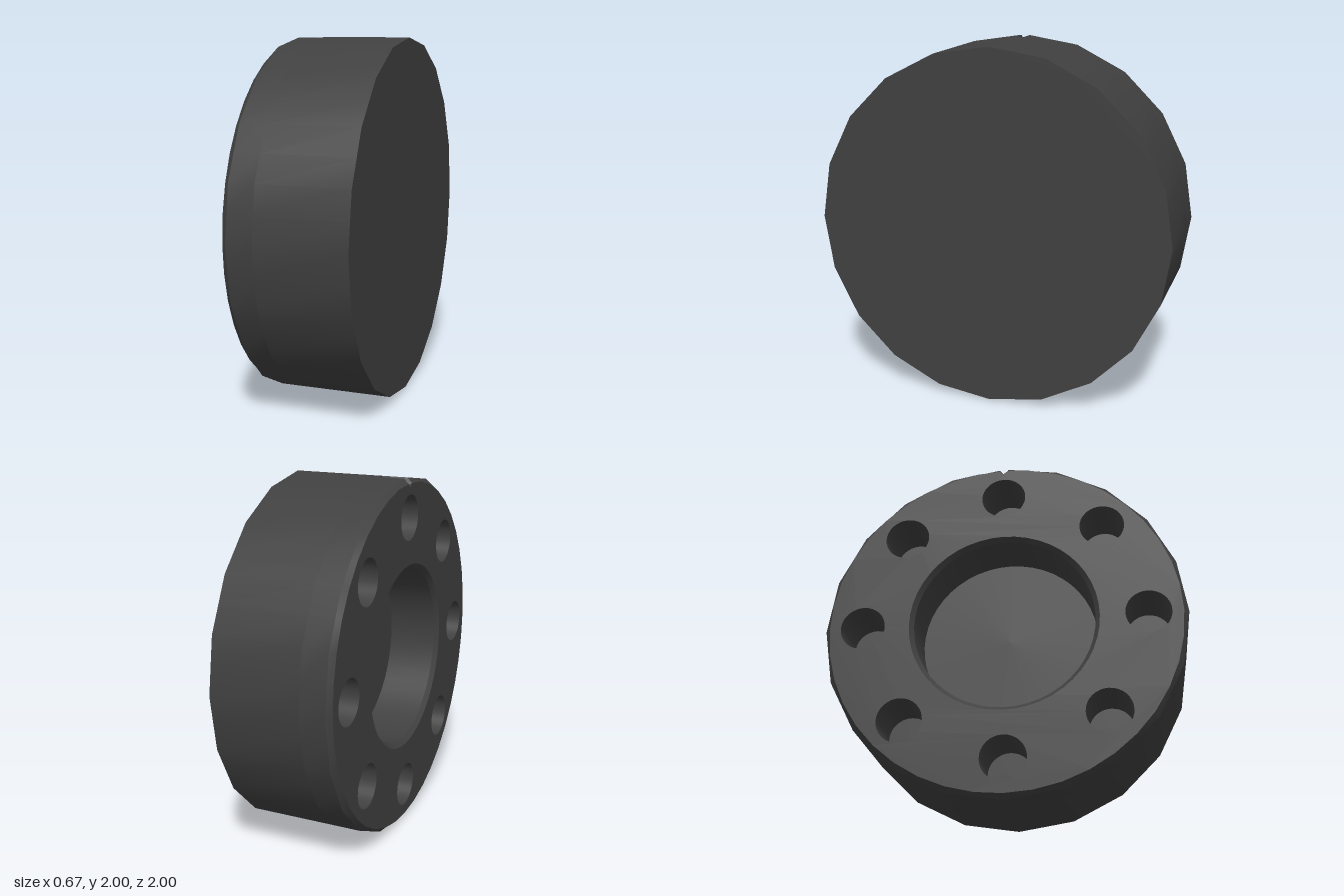
import * as THREE from 'three';
import { toCreasedNormals } from 'three/addons/utils/BufferGeometryUtils.js';

const FACE_X = -0.335, CAP_X = 0.335, BEVEL = 0.028;
const SIDES = 20, STEPS = 40;

export function createModel() {
  const group = new THREE.Group();
  const material = new THREE.MeshStandardMaterial({ color: 0x404040 });

  const add = (name, geometry) => {
    const mesh = new THREE.Mesh(toCreasedNormals(geometry, 0.5), material);
    mesh.name = name;
    group.add(mesh);
    return mesh;
  };

  // Points of a circle in the (z, y) plane
  const circle = (cz, cy, r, n) => Array.from({ length: n }, (_, i) => {
    const a = (i / n) * Math.PI * 2;
    return new THREE.Vector2(cz + r * Math.sin(a), cy + r * Math.cos(a));
  });

  // Outline ring at x: round or twenty-sided, with three points at the top for the groove
  const ring = (x, r, round, grooveY, grooveX = x) => {
    const points = [];
    for (let i = 1; i < STEPS; i++) {
      const a = (i / STEPS) * Math.PI * 2;
      const rr = !round && i % 2 ? r * Math.cos(Math.PI / SIDES) : r;
      points.push(new THREE.Vector3(x, 1 + rr * Math.cos(a), rr * Math.sin(a)));
    }
    const lipY = 1 + r - 0.004;
    points.push(new THREE.Vector3(x, lipY, -0.026));
    points.push(new THREE.Vector3(grooveX, grooveY ?? 1 + r, -0.004));
    points.push(new THREE.Vector3(x, lipY, 0.022));
    return points;
  };

  const triangles = (points) => new THREE.BufferGeometry().setFromPoints(points);

  // Skin between neighbouring rings, running towards +x
  const loft = (rings) => {
    const out = [];
    for (let k = 0; k + 1 < rings.length; k++) {
      const a = rings[k], b = rings[k + 1], n = a.length;
      for (let i = 0; i < n; i++) {
        const j = (i + 1) % n;
        out.push(a[i], a[j], b[i], a[j], b[j], b[i]);
      }
    }
    return triangles(out);
  };

  // Outer wall: bevelled rim with a short V groove at the top
  const faceRing = ring(FACE_X, 1 - BEVEL, true, 1.95);
  const grooveEnd = ring(-0.165, 1, false, 1.95, -0.18);
  const wallStart = ring(-0.165, 1, false);
  add('bevelAndGroovedRim', loft([faceRing, ring(FACE_X + BEVEL, 1, false, 1.95), grooveEnd]));
  add('outerWall', loft([wallStart, ring(CAP_X, 1, false)]));

  // Sloped end of the groove
  const g = STEPS - 1;
  add('grooveEnd', triangles([
    grooveEnd[g], grooveEnd[g + 1], wallStart[g + 1],
    grooveEnd[g + 1], grooveEnd[g + 2], wallStart[g + 1],
  ]));

  // Plain cap
  const capShape = new THREE.Shape(ring(CAP_X, 1, false).map((p) => new THREE.Vector2(-p.z, p.y)));
  const cap = new THREE.ShapeGeometry(capShape);
  cap.rotateY(Math.PI / 2);
  cap.translate(CAP_X, 0, 0);
  add('plainCap', cap);

  // Pierced face with a central recess and eight bolt holes
  const face = new THREE.Shape(faceRing.map((p) => new THREE.Vector2(p.z, p.y)));
  const pocket = (name, z, y, profile, segments) => {
    face.holes.push(new THREE.Path(circle(z, y, profile[0][0], segments)));
    const geometry = new THREE.LatheGeometry(profile.map((p) => new THREE.Vector2(...p)), segments);
    geometry.rotateZ(Math.PI / 2);
    geometry.translate(FACE_X, y, z);
    add(name, geometry);
  };

  pocket('centralRecess', 0, 1, [[0.524, 0], [0.5, -0.024], [0.5, -0.3], [0, -0.3]], 48);
  for (let i = 0; i < 8; i++) {
    const a = (i / 8) * Math.PI * 2;
    pocket('boltHole', 0.785 * Math.sin(a), 1 + 0.785 * Math.cos(a),
      [[0.125, 0], [0.125, -0.3], [0, -0.3]], 32);
  }

  const faceGeometry = new THREE.ShapeGeometry(face);
  faceGeometry.rotateY(-Math.PI / 2);
  faceGeometry.translate(FACE_X, 0, 0);
  add('piercedFace', faceGeometry);

  return group;
}
